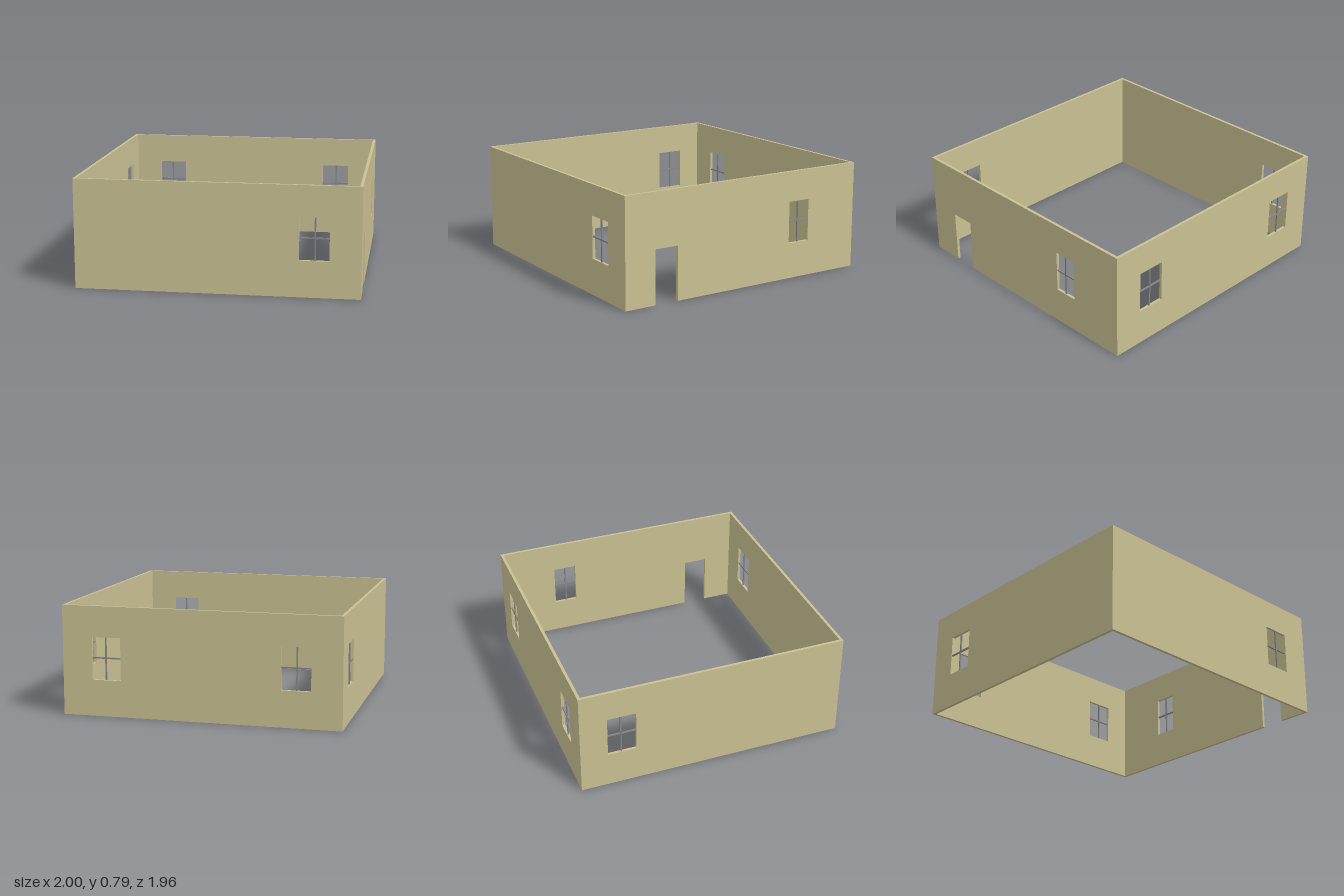
import * as THREE from 'three';

const W = 1, D = 0.98, H = 0.785, T = 0.021; // half width, half depth, height, wall thickness
const SILL = 0.26, HEAD = 0.565, RAIL = 0.417, BAR = 0.01;

const wallPaint = new THREE.MeshStandardMaterial({ color: 0xc9c092 });
wallPaint.name = 'sandWall';
const barPaint = new THREE.MeshStandardMaterial({ color: 0x88888a });
barPaint.name = 'greyWindowBar';

// A wall in its own plane: u runs along it, y is up, thickness is centred on z = 0.
// windows: [u0, u1, mullion u], door: [u0, u1, height]
function makeWall(name, half, windows, door) {
  const group = new THREE.Group();
  group.name = name;

  // Outline, notched at the floor for the doorway
  const outline = [[-half, 0]];
  if (door) outline.push([door[0], 0], [door[0], door[2]], [door[1], door[2]], [door[1], 0]);
  outline.push([half, 0], [half, H], [-half, H]);
  const shape = new THREE.Shape(outline.map(([u, y]) => new THREE.Vector2(u, y)));

  // Window openings
  for (const [a, b] of windows) {
    shape.holes.push(new THREE.Path([[a, SILL], [a, HEAD], [b, HEAD], [b, SILL]]
      .map(([u, y]) => new THREE.Vector2(u, y))));
  }
  const geometry = new THREE.ExtrudeGeometry(shape, { depth: T, bevelEnabled: false });
  geometry.translate(0, 0, -T / 2);
  const panel = new THREE.Mesh(geometry, wallPaint);
  panel.name = name + 'Panel';
  group.add(panel);

  // Crossed glazing bars
  for (const [a, b, m] of windows) {
    const upright = new THREE.Mesh(new THREE.BoxGeometry(BAR, HEAD - SILL, BAR), barPaint);
    upright.name = 'windowUpright';
    upright.position.set(m, (SILL + HEAD) / 2, 0);
    const crossbar = new THREE.Mesh(new THREE.BoxGeometry(b - a, BAR, BAR), barPaint);
    crossbar.name = 'windowCrossbar';
    crossbar.position.set((a + b) / 2, RAIL, 0);
    group.add(upright, crossbar);
  }
  return group;
}

export function createModel() {
  const house = new THREE.Group();
  house.name = 'roomWalls';
  const corner = [0.573, 0.782, 0.683];
  const cornerMirrored = [-0.782, -0.573, -0.683];

  // Front and back walls run the full width
  const front = makeWall('frontWall', W, [corner]);
  front.position.z = D - T / 2;
  const back = makeWall('backWall', W, [cornerMirrored, corner]);
  back.position.z = -D + T / 2;

  // Side walls fit between them; u follows world z
  const left = makeWall('leftWall', D - T, [[-0.56, -0.387, -0.47]], [0.565, 0.745, 0.39]);
  left.rotation.y = -Math.PI / 2;
  left.position.x = W - T / 2;
  const right = makeWall('rightWall', D - T, [cornerMirrored]);
  right.rotation.y = -Math.PI / 2;
  right.position.x = -W + T / 2;

  house.add(front, back, left, right);
  return house;
}
